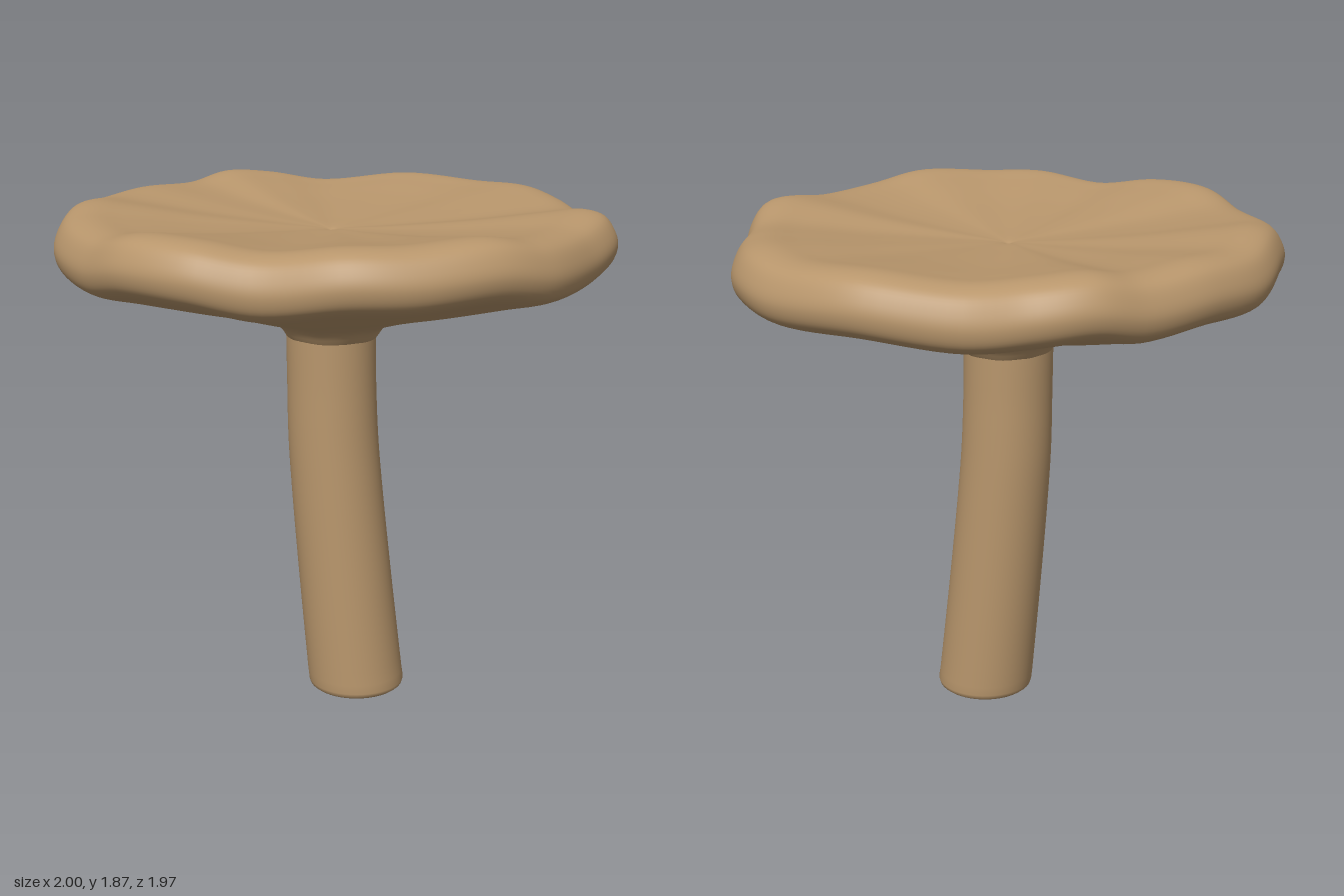
import * as THREE from 'three';
import { mergeVertices } from 'three/addons/utils/BufferGeometryUtils.js';

const flesh = new THREE.MeshStandardMaterial({ color: 0xb8966c });
flesh.name = 'tan flesh';

// Smooth skin over closed rings, each an array of Vector3
function loft(rings) {
  const n = rings[0].length;
  const index = [];
  for (let i = 0; i < rings.length - 1; i++) {
    for (let j = 0; j < n; j++) {
      const a = i * n + j, b = i * n + (j + 1) % n;
      index.push(a, b, a + n, b, b + n, a + n);
    }
  }
  const geometry = new THREE.BufferGeometry().setFromPoints(rings.flat());
  geometry.setIndex(index);
  const merged = mergeVertices(geometry, 1e-5);
  merged.computeVertexNormals();
  return merged;
}

// Wavy rim seen from above: x, height of the wave, z
const rim = [
  [0.07, 0.01, -0.985], [0.41, -0.005, -0.92], [0.62, 0.005, -0.78], [0.77, -0.01, -0.57],
  [0.89, -0.025, -0.32], [0.997, 0.02, -0.06], [0.945, -0.015, 0.22], [0.86, -0.01, 0.51],
  [0.73, 0.025, 0.7], [0.49, 0.01, 0.88], [0.27, 0.01, 0.96], [-0.02, -0.025, 0.965],
  [-0.26, 0.01, 0.98], [-0.5, 0.015, 0.9], [-0.69, -0.025, 0.73], [-0.9, -0.01, 0.46],
  [-0.97, 0.015, 0.22], [-1, -0.01, -0.07], [-0.93, 0, -0.32], [-0.8, -0.01, -0.58],
  [-0.69, 0.025, -0.74], [-0.53, 0.01, -0.85], [-0.29, -0.025, -0.9],
].map(p => new THREE.Vector3(...p));

// Half section of the cap: dished top, rounded rim, sloping underside
const section = [
  [0, 1.755], [0.03, 1.763], [0.2, 1.775], [0.5, 1.8], [0.75, 1.83], [0.88, 1.842],
  [0.95, 1.82], [0.988, 1.768], [1, 1.72], [0.985, 1.668], [0.945, 1.638], [0.8, 1.595],
  [0.55, 1.523], [0.3, 1.455], [0.2, 1.415], [0.165, 1.37],
].map(([t, y]) => new THREE.Vector3(t, y, 0));

function capGeometry() {
  const edge = new THREE.CatmullRomCurve3(rim, true).getPoints(160).slice(0, -1);
  const profile = new THREE.CatmullRomCurve3(section).getPoints(75);
  return loft(profile.map(({ x, y }) => {
    const t = Math.max(x, 0);
    return edge.map(e => {
      // Round near the stem, following the wavy outline at the rim
      const r = Math.hypot(e.x, e.z);
      const k = t * THREE.MathUtils.lerp(1 / r, 1, t);
      const wave = (e.y + 0.015 * e.z) * t ** 1.5;
      return new THREE.Vector3(e.x * k - 0.02 * (1 - t), y + wave, e.z * k + 0.01 * (1 - t));
    });
  }));
}

function stemGeometry() {
  // Centre line, with the radius carried by a second curve
  const axis = new THREE.CatmullRomCurve3([
    [-0.022, 1.46], [-0.021, 1.3], [-0.014, 1], [0, 0.8], [0.037, 0.4], [0.076, 0.02], [0.078, 0],
  ].map(([x, y]) => new THREE.Vector3(x, y, 0.01)));
  const ring = (c, r) => Array.from({ length: 48 }, (_, j) => {
    const a = j / 48 * Math.PI * 2;
    return new THREE.Vector3(c.x + r * Math.cos(a), c.y, c.z + r * Math.sin(a));
  });
  const rings = axis.getPoints(36).filter(p => p.y > 0.03)
    .map(p => ring(p, THREE.MathUtils.lerp(0.181, 0.164, Math.min(p.y / 1.2, 1))));
  // Softly rounded foot and flat base
  for (const [y, r] of [[0.022, 0.181], [0.008, 0.177], [0, 0.167], [0, 0.155], [0, 0]]) {
    rings.push(ring(new THREE.Vector3(0.077, y, 0.01), r));
  }
  return loft(rings);
}

export function createModel() {
  const group = new THREE.Group();
  group.name = 'mushroom';
  const cap = new THREE.Mesh(capGeometry(), flesh);
  cap.name = 'cap';
  const stem = new THREE.Mesh(stemGeometry(), flesh);
  stem.name = 'stem';
  group.add(cap, stem);
  return group;
}
